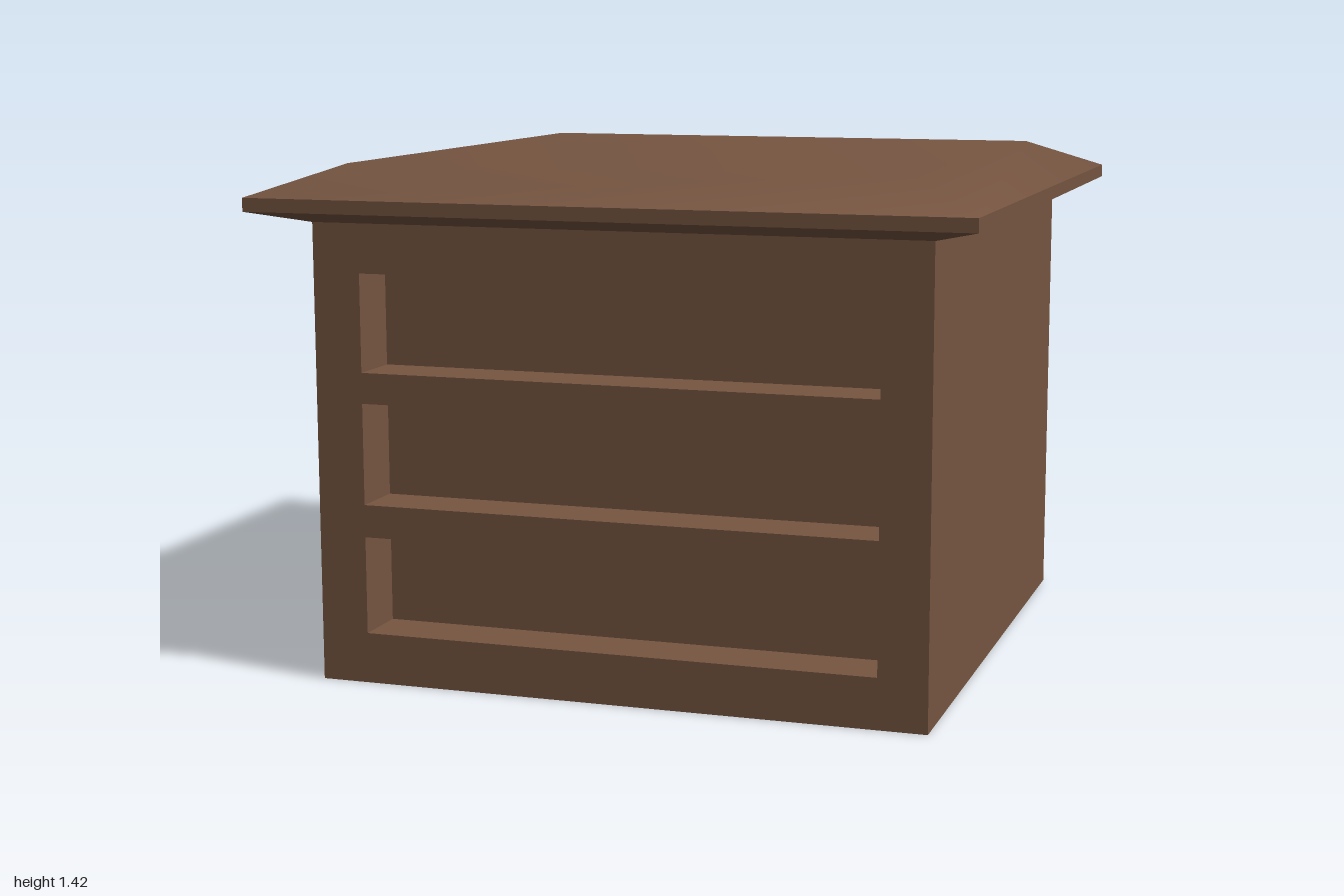
import * as THREE from 'three';

const wood = new THREE.MeshStandardMaterial({ color: 0x765541 });
wood.name = 'brown wood';

const BODY = { x: 0.855, z: 0.865, h: 1.28 };
const DRAWERS = [[0.14, 0.41], [0.5, 0.78], [0.865, 1.135]]; // bottom and top of each opening
const OPEN_X = 0.72, DEPTH = 0.16;

function add(parent, name, geometry) {
  const mesh = new THREE.Mesh(geometry, wood);
  mesh.name = name;
  parent.add(mesh);
  return mesh;
}

// Box without its front (+z) face; inverted boxes are seen from inside
function openBox(w, h, d, inverted) {
  const g = new THREE.BoxGeometry(w, h, d);
  let index = Array.from(g.index.array).filter((v, i) => i < 24 || i >= 30);
  if (inverted) index.reverse();
  g.setIndex(index);
  g.clearGroups();
  g.computeVertexNormals();
  return g;
}

// Skin over rectangular rings [halfX, y, halfZ], listed from bottom to top
function rings(list, cap, flat) {
  const pos = [], index = [];
  list.forEach(([x, y, z]) => pos.push(x, y, z, x, y, -z, -x, y, -z, -x, y, z));
  for (let r = 0; r < list.length - 1; r++) {
    for (let i = 0; i < 4; i++) {
      const a = r * 4 + i, b = r * 4 + (i + 1) % 4;
      index.push(a, b, b + 4, a, b + 4, a + 4);
    }
  }
  const t = (list.length - 1) * 4;
  if (cap) index.push(t, t + 1, t + 2, t, t + 2, t + 3);
  let g = new THREE.BufferGeometry();
  g.setAttribute('position', new THREE.Float32BufferAttribute(pos, 3));
  g.setIndex(index);
  if (flat) g = g.toNonIndexed();
  g.computeVertexNormals();
  return g;
}

export function createModel() {
  const model = new THREE.Group();
  model.name = 'drawerCabinet';

  // Cabinet: sides, back and base
  const { x, z, h } = BODY;
  add(model, 'cabinetBody', openBox(2 * x, h, 2 * z, false)).position.y = h / 2;

  // Front frame with three openings
  const front = new THREE.Shape([[-x, 0], [x, 0], [x, h], [-x, h]].map(p => new THREE.Vector2(...p)));
  for (const [lo, hi] of DRAWERS) {
    front.holes.push(new THREE.Path(
      [[-OPEN_X, lo], [-OPEN_X, hi], [OPEN_X, hi], [OPEN_X, lo]].map(p => new THREE.Vector2(...p))));
    // Recess behind each opening
    add(model, 'drawerRecess', openBox(2 * OPEN_X, hi - lo, DEPTH, true))
      .position.set(0, (lo + hi) / 2, z - DEPTH / 2);
  }
  add(model, 'frontFrame', new THREE.ShapeGeometry(front)).position.z = z;

  // Overhanging lid: tapered underside, thin rim and softly shaded bevelled top
  const lid = new THREE.Group();
  lid.name = 'lid';
  add(lid, 'lidUnderside', rings([[x, 1.27, z], [0.99, 1.305, 1]], false, true));
  add(lid, 'lidRim', rings([[0.99, 1.305, 1], [0.99, 1.342, 1]], false, true));
  add(lid, 'lidTop', rings([[0.99, 1.342, 1], [0.78, 1.425, 0.795]], true, false));
  model.add(lid);

  return model;
}
